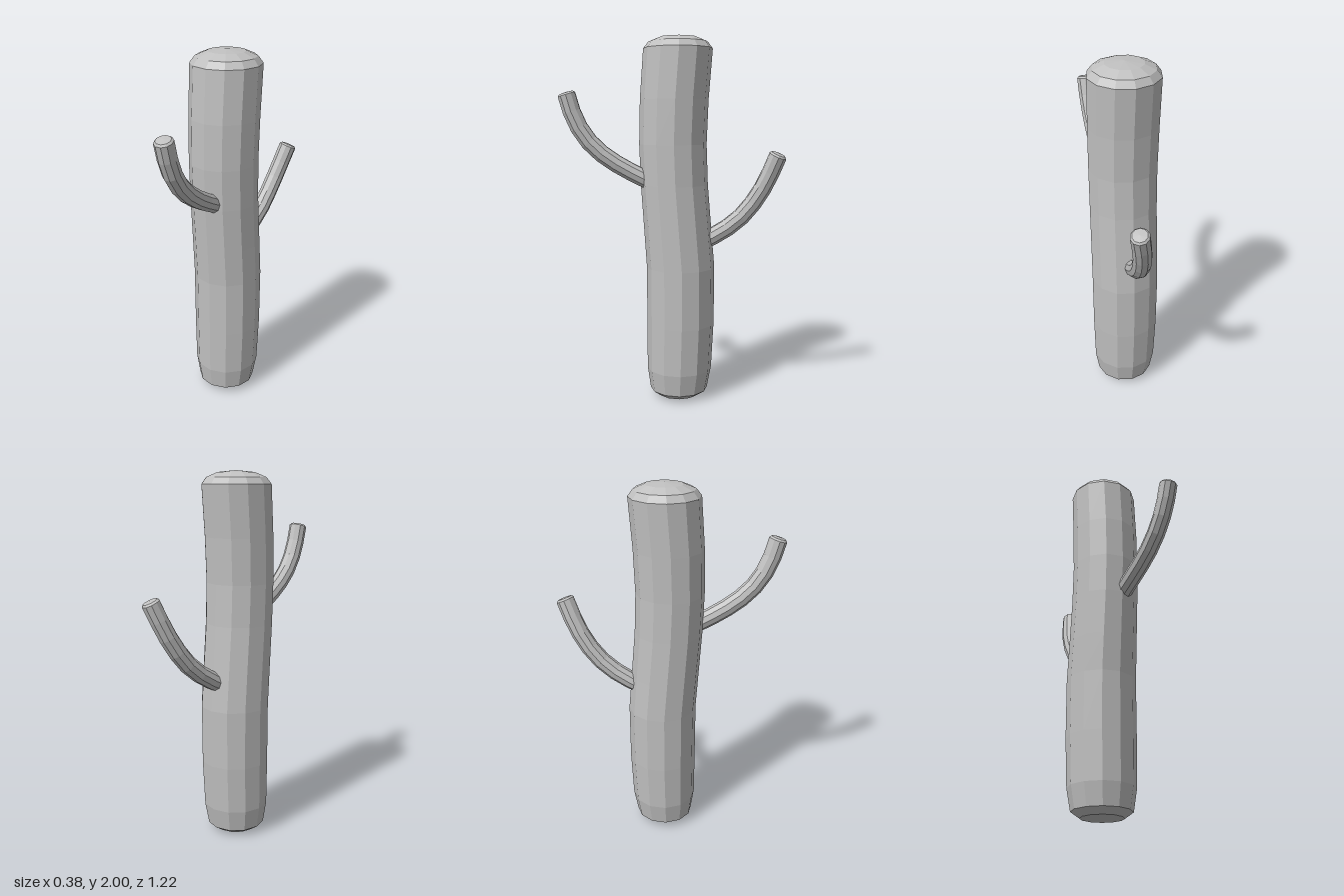
import * as THREE from 'three';

// Skin a closed tube through rings { p: centre, r: radius, t: optional axis }
function loft(rings, sides) {
  const pos = [], index = [];
  rings.forEach(({ p, r, t }, i) => {
    const axis = t ? t.clone() : rings[Math.min(i + 1, rings.length - 1)].p.clone()
      .sub(rings[Math.max(i - 1, 0)].p).normalize();
    const u = new THREE.Vector3(1, 0, 0).addScaledVector(axis, -axis.x).normalize();
    const v = new THREE.Vector3().crossVectors(axis, u);
    for (let s = 0; s < sides; s++) {
      const a = (s / sides) * Math.PI * 2;
      const q = p.clone().addScaledVector(u, r * Math.cos(a)).addScaledVector(v, r * Math.sin(a));
      pos.push(q.x, q.y, q.z);
    }
  });
  for (let i = 0; i < rings.length - 1; i++) {
    for (let s = 0; s < sides; s++) {
      const a = i * sides + s, b = i * sides + (s + 1) % sides;
      const c = a + sides, d = b + sides;
      if (rings[i].r > 0) index.push(a, b, rings[i + 1].r > 0 ? d : c);
      if (rings[i + 1].r > 0) index.push(a, d, c);
    }
  }
  const geo = new THREE.BufferGeometry();
  geo.setAttribute('position', new THREE.Float32BufferAttribute(pos, 3));
  geo.setIndex(index);
  geo.computeVertexNormals();
  return geo;
}

// Curved branch with a slightly rounded tip
function armGeometry(points, radius) {
  const curve = new THREE.CatmullRomCurve3(points.map(p => new THREE.Vector3(...p)));
  const steps = 8, rings = [];
  for (let i = 0; i <= steps; i++) {
    rings.push({ p: curve.getPointAt(i / steps), r: radius, t: curve.getTangentAt(i / steps) });
  }
  const end = rings[steps];
  const tip = (d, k) => ({ p: end.p.clone().addScaledVector(end.t, d), r: radius * k, t: end.t });
  rings.unshift({ ...rings[0], r: 0 });
  rings.push(tip(0.01, 0.8), tip(0.014, 0));
  return loft(rings, 10);
}

export function createModel() {
  const group = new THREE.Group();
  group.name = 'cactus';
  const grey = new THREE.MeshStandardMaterial({ color: 0xc0c0c0, flatShading: true });
  grey.name = 'plain grey';
  const add = (name, geo) => {
    const mesh = new THREE.Mesh(geo, grey);
    mesh.name = name;
    group.add(mesh);
  };

  // Trunk: height, depth offset, radius
  const up = new THREE.Vector3(0, 1, 0);
  const profile = [
    [0, -0.04, 0], [0.008, -0.04, 0.115], [0.04, -0.042, 0.16], [0.16, -0.045, 0.18],
    [0.42, -0.051, 0.187], [0.74, -0.051, 0.188], [0.95, -0.035, 0.186], [1.2, -0.016, 0.184],
    [1.42, -0.008, 0.184], [1.66, -0.015, 0.186], [1.93, -0.035, 0.187],
    [1.965, -0.036, 0.16], [1.99, -0.037, 0.1], [2, -0.037, 0],
  ];
  add('trunk', loft(profile.map(([y, z, r]) => ({ p: new THREE.Vector3(0, y, z), r, t: up })), 12));

  // Arms start inside the trunk and curve upward
  add('frontArm', armGeometry([
    [0.03, 1.19, 0.05], [0.03, 1.26, 0.2], [0.035, 1.36, 0.365],
    [0.038, 1.46, 0.465], [0.042, 1.57, 0.525], [0.045, 1.685, 0.56],
  ], 0.049));
  add('backArm', armGeometry([
    [-0.015, 0.83, -0.05], [0, 0.905, -0.22], [0.018, 1.0, -0.36],
    [0.033, 1.105, -0.45], [0.053, 1.22, -0.515], [0.085, 1.36, -0.57],
  ], 0.049));

  return group;
}
